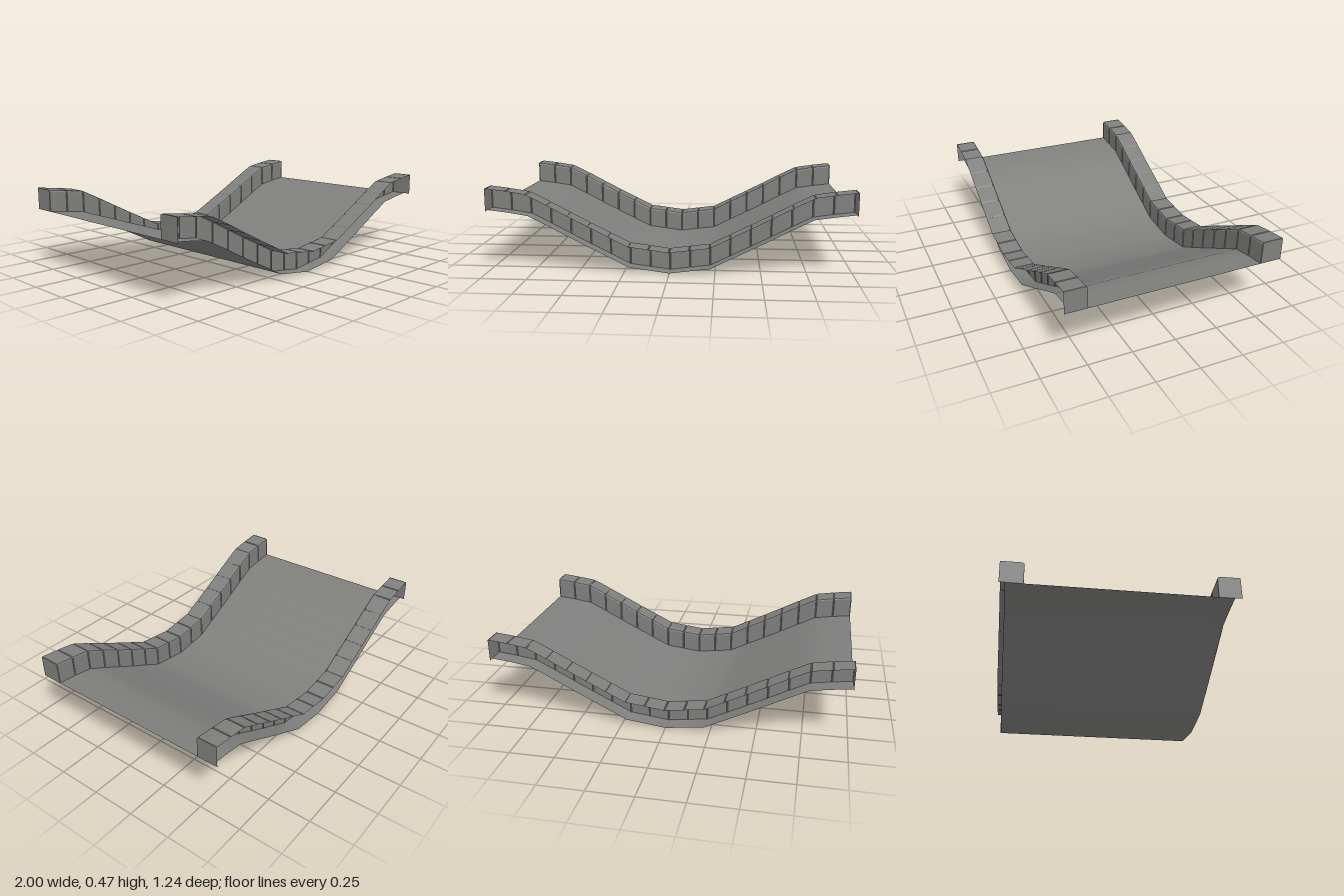
import * as THREE from 'three';

// Height of the road surface at evenly spaced stations from the dip to the end
const HEIGHTS = [0.003, 0.018, 0.032, 0.088, 0.143, 0.2, 0.258, 0.313, 0.33, 0.343];
const STEPS = HEIGHTS.length - 1;

function roadHeight(x) {
  const s = Math.min(Math.abs(x), 1) * STEPS;
  const i = Math.min(Math.floor(s), STEPS - 1);
  return THREE.MathUtils.lerp(HEIGHTS[i], HEIGHTS[i + 1], s - i);
}

// Kerb cross-section as [z, height]: top, rounded inner edge, inner wall
const KERB = [[0.618, 0.125], [0.506, 0.125], [0.499, 0.122], [0.495, 0.115], [0.495, 0]];

function kerbPoint([z, h], x, inset) {
  return [x, roadHeight(x) + h - (h > 0.1 ? inset : 0), z + (z < 0.6 ? inset : -inset)];
}

// One kerb block: an open shell with slightly bevelled ends
function kerbBlock(x0, x1) {
  const bevel = 0.004;
  const rings = [[x0, bevel], [x0 + bevel, 0], [x1 - bevel, 0], [x1, bevel]]
    .map(([x, inset]) => KERB.map((p) => kerbPoint(p, x, inset)));
  const positions = [];
  for (let r = 0; r < rings.length - 1; r++) {
    for (let k = 0; k < KERB.length - 1; k++) {
      const a = rings[r][k], b = rings[r + 1][k], c = rings[r + 1][k + 1], d = rings[r][k + 1];
      positions.push(...a, ...b, ...c, ...a, ...c, ...d);
    }
  }
  const geometry = new THREE.BufferGeometry();
  geometry.setAttribute('position', new THREE.Float32BufferAttribute(positions, 3));
  geometry.computeVertexNormals();
  return geometry;
}

export function createModel() {
  const model = new THREE.Group();
  model.name = 'dippedRoad';
  const stone = new THREE.MeshStandardMaterial({ color: 0x7f807e, side: THREE.DoubleSide });
  stone.name = 'grey stone';

  // Thin road surface following the dip
  const surface = new THREE.PlaneGeometry(2, 1.168, STEPS * 2, 1);
  surface.rotateX(-Math.PI / 2);
  surface.translate(0, 0, -0.005);
  const pos = surface.attributes.position;
  for (let i = 0; i < pos.count; i++) pos.setY(i, roadHeight(pos.getX(i)));
  surface.computeVertexNormals();
  const road = new THREE.Mesh(surface, stone);
  road.name = 'roadSurface';
  model.add(road);

  // Kerbs along both edges; the second is the first turned half round
  for (const side of ['front', 'back']) {
    const kerb = new THREE.Group();
    kerb.name = side + 'Kerb';
    for (let i = -STEPS; i < STEPS; i++) {
      const block = new THREE.Mesh(kerbBlock(i / STEPS, (i + 1) / STEPS), stone);
      block.name = 'kerbBlock';
      kerb.add(block);
    }
    // Flat caps closing the two ends
    const outline = [[0.618, 0], ...KERB].map(([z, h]) => new THREE.Vector2(-z, h));
    for (const end of [-1, 1]) {
      const cap = new THREE.Mesh(new THREE.ShapeGeometry(new THREE.Shape(outline)), stone);
      cap.name = 'kerbEndCap';
      cap.rotation.y = Math.PI / 2;
      cap.position.set(end, roadHeight(1), 0);
      kerb.add(cap);
    }
    if (side === 'back') kerb.rotation.y = Math.PI;
    model.add(kerb);
  }
  return model;
}
